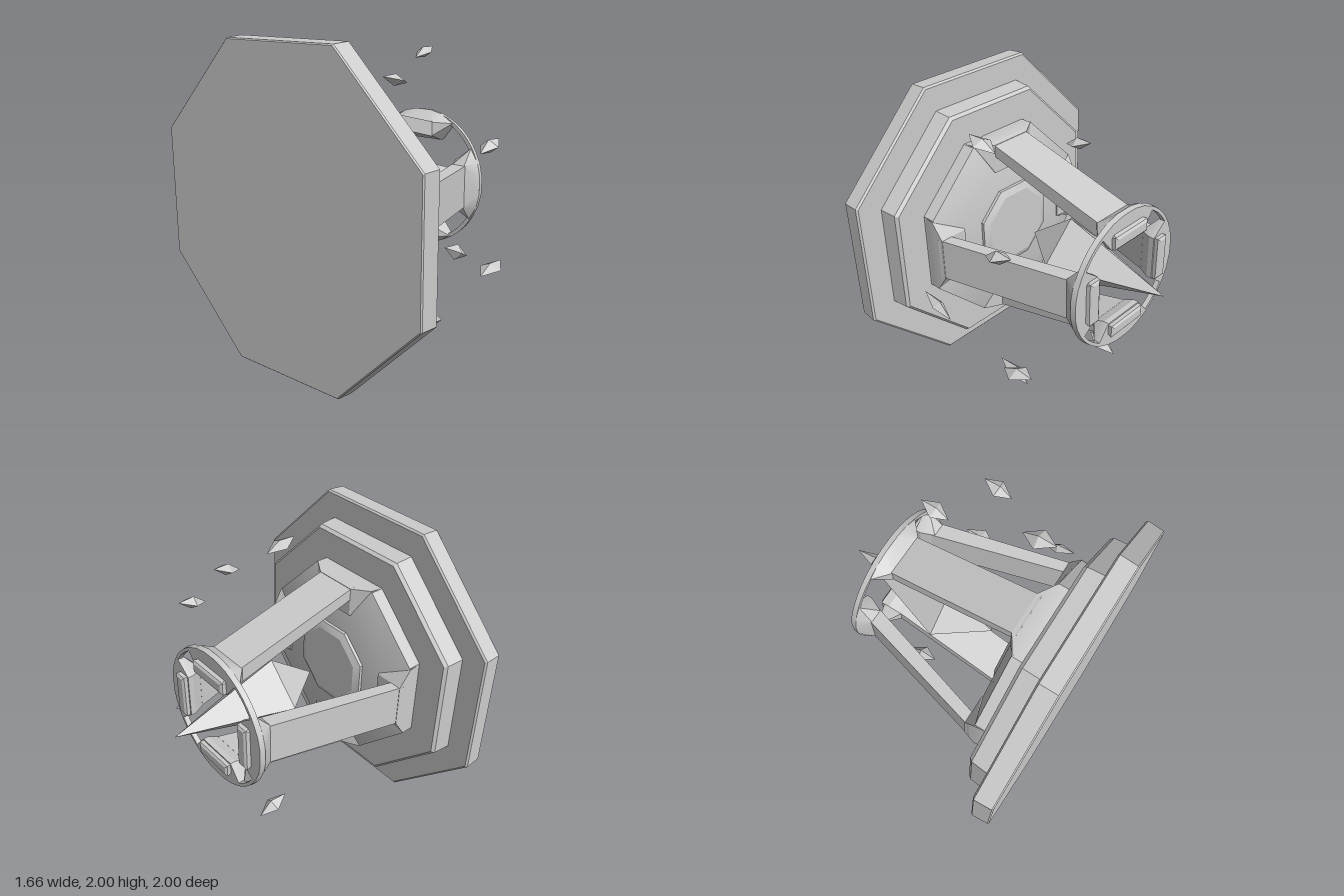
import * as THREE from 'three';
import { toCreasedNormals } from 'three/addons/utils/BufferGeometryUtils.js';
import { ConvexGeometry } from 'three/addons/geometries/ConvexGeometry.js';

const stone = new THREE.MeshStandardMaterial({ color: 0xcccccc });
stone.name = 'pale grey stone';

function add(parent, name, geometry) {
  const mesh = new THREE.Mesh(toCreasedNormals(geometry, 0.4), stone);
  mesh.name = name;
  parent.add(mesh);
  return mesh;
}

// Turned solid along x; profile is [x, radius] pairs. For 8 sides the radius is the apothem.
function turned(parent, name, profile, sides) {
  const k = sides === 8 ? 1 / Math.cos(Math.PI / 8) : 1;
  const pts = profile.map(([x, r]) => new THREE.Vector2(r * k, x));
  const geometry = new THREE.LatheGeometry(pts, sides, Math.PI / sides);
  geometry.rotateZ(-Math.PI / 2);
  return add(parent, name, geometry);
}

// Convex block mirrored in z, from [x, radial, halfWidth] corners.
function block(parent, name, corners) {
  const pts = [];
  for (const [x, y, w] of corners) {
    pts.push(new THREE.Vector3(x, y, w), new THREE.Vector3(x, y, -w));
  }
  return add(parent, name, new ConvexGeometry(pts));
}

export function createModel() {
  const model = new THREE.Group();
  model.name = 'crystalEmitter';
  const body = new THREE.Group();
  body.name = 'body';
  body.position.y = 1;
  model.add(body);

  // Stepped octagonal base
  turned(body, 'basePlate', [[-0.83, 0], [-0.83, 0.985], [-0.822, 0.992], [-0.71, 1], [-0.7, 0.988], [-0.7, 0]], 8);
  turned(body, 'middleStep', [[-0.71, 0], [-0.71, 0.832], [-0.585, 0.822], [-0.565, 0.805], [-0.565, 0]], 8);
  turned(body, 'upperStep', [[-0.57, 0], [-0.57, 0.62], [-0.48, 0.62], [-0.42, 0.435], [-0.42, 0]], 8);
  turned(body, 'centreBoss', [[-0.43, 0], [-0.43, 0.28], [-0.4, 0.28], [-0.38, 0.235], [-0.38, 0]], 8);

  // Four leaning pillars with flared feet and heads
  for (let i = 0; i < 4; i++) {
    const pillar = new THREE.Group();
    pillar.name = 'pillar';
    pillar.rotation.x = i * Math.PI / 2;
    body.add(pillar);
    block(pillar, 'pillarFoot', [
      [-0.55, 0.62, 0.25], [-0.48, 0.628, 0.25], [-0.48, 0.43, 0.18],
      [-0.41, 0.62, 0.14], [-0.41, 0.43, 0.14],
    ]);
    block(pillar, 'pillarShaft', [
      [-0.44, 0.625, 0.14], [-0.44, 0.55, 0.14], [0.44, 0.4, 0.14], [0.44, 0.3, 0.14],
    ]);
    block(pillar, 'pillarHead', [
      [0.42, 0.4, 0.14], [0.42, 0.31, 0.14],
      [0.51, 0.465, 0.06], [0.51, 0.445, 0.15], [0.51, 0.39, 0.24], [0.51, 0.27, 0.15],
      [0.545, 0.46, 0.06], [0.545, 0.44, 0.15], [0.545, 0.385, 0.24], [0.545, 0.27, 0.15],
    ]);
    block(pillar, 'headPad', [
      [0.54, 0.37, 0.13], [0.54, 0.35, 0.15], [0.54, 0.28, 0.15],
      [0.57, 0.365, 0.15], [0.57, 0.28, 0.15], [0.58, 0.35, 0.135], [0.58, 0.295, 0.135],
    ]);
  }

  // Thin hoop joining the pillar heads
  turned(body, 'hoop', [[0.51, 0.44], [0.51, 0.467], [0.545, 0.462], [0.545, 0.44], [0.51, 0.44]], 48);

  // Long four-sided crystal
  const crystal = [[-0.22, 0, 0], [0.83, 0, 0], [0.1, 0.235, 0], [0.1, -0.235, 0], [0.1, 0, 0.235], [0.1, 0, -0.235]];
  add(body, 'crystal', new ConvexGeometry(crystal.map((p) => new THREE.Vector3(...p))));

  // Floating shards: position, half sizes, tilt
  const shards = [
    [-0.27, 1.76, 0.37, 0.115, 0.035, 0.07, -0.25],
    [0.29, 1.87, 0.16, 0.095, 0.034, 0.055, 0.32],
    [0.2, 1.35, 0.72, 0.11, 0.043, 0.062, 0.3],
    [-0.265, 0.83, 0.81, 0.125, 0.045, 0.04, -0.45],
    [0.3, 0.545, 0.7, 0.12, 0.035, 0.075, 0.2],
    [0.01, 0.22, 0.45, 0.13, 0.057, 0.05, -0.35],
    [0.24, 0.195, -0.18, 0.115, 0.05, 0.06, -0.35],
  ];
  for (const [x, y, z, a, b, c, tilt] of shards) {
    const shard = add(model, 'shard', new THREE.OctahedronGeometry(1).scale(a, b, c));
    shard.position.set(x, y, z);
    shard.rotation.z = tilt;
  }
  return model;
}
